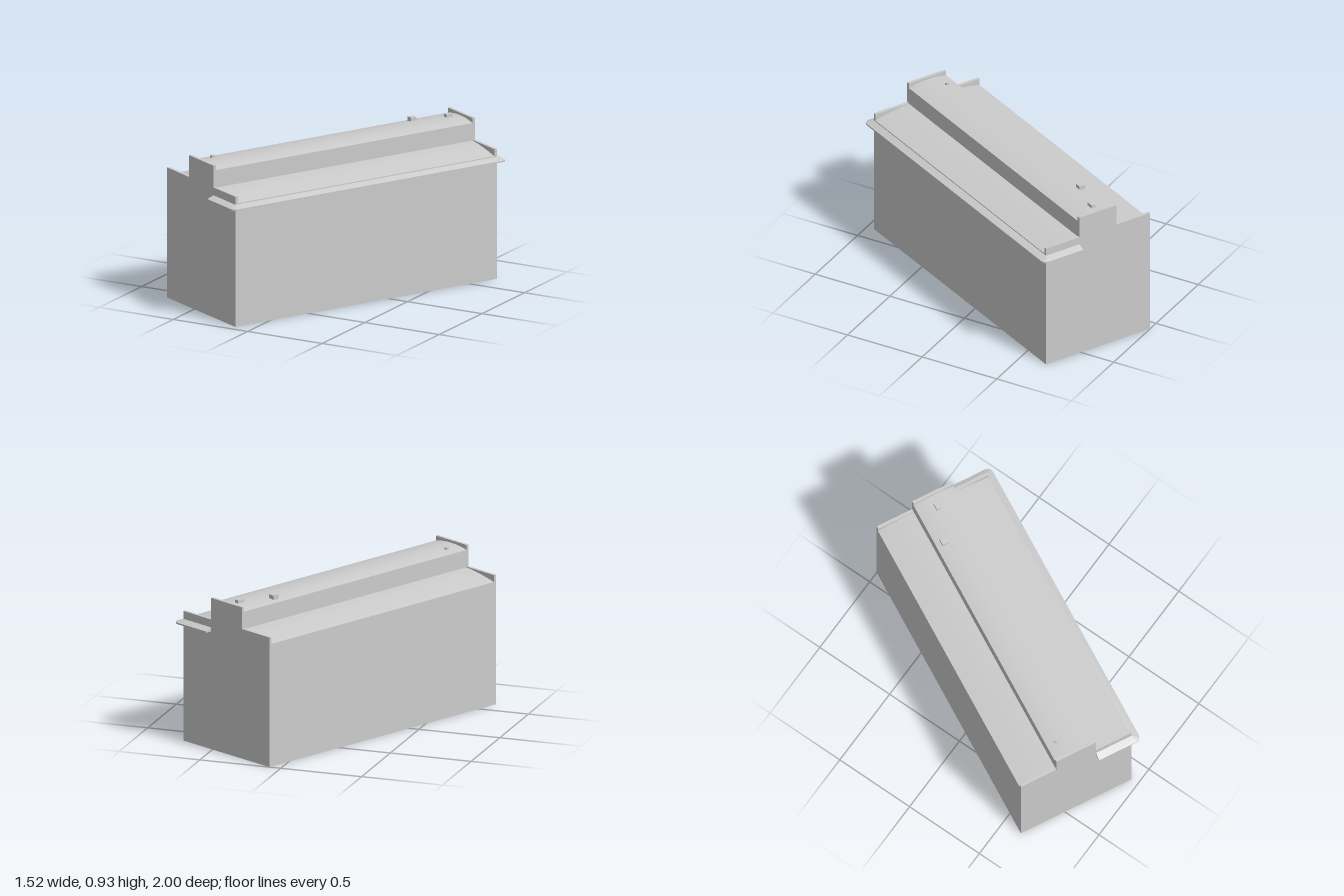
import * as THREE from 'three';
import { toCreasedNormals } from 'three/addons/utils/BufferGeometryUtils.js';

const W = 0.363, L = 0.911;          // half width and half length of the building
const RIDGE = 0.13;                  // half width of the raised central bay
const END = 0.018;                   // gable parapet thickness

const material = new THREE.MeshStandardMaterial({ color: 0xcccccc, side: THREE.DoubleSide });

function add(group, name, geometry, x = 0, y = 0, z = 0) {
  const mesh = new THREE.Mesh(geometry, material);
  mesh.name = name;
  mesh.position.set(x, y, z);
  group.add(mesh);
  return mesh;
}

// Extrude a symmetric section given by its right half, listed from the bottom up
function extrudeSection(half, depth) {
  const left = half.map(([x, y]) => [-x, y]).reverse();
  const shape = new THREE.Shape([...half, ...left].map(([x, y]) => new THREE.Vector2(x, y)));
  const geometry = new THREE.ExtrudeGeometry(shape, { depth, bevelEnabled: false });
  return toCreasedNormals(geometry, 0.4);
}

// Ledge that wraps the right wall and both corners, sloping down to a thin lip
function ledgeGeometry() {
  const out = 0.043, r = 0.035;
  const rows = [[[RIDGE, L], [RIDGE, L + out]]];
  for (const s of [1, -1]) {
    for (let i = 0; i <= 4; i++) {
      const a = (s > 0 ? 1 - i / 4 : i / 4) * Math.PI / 2;
      rows.push([[W, s * L], [W + out - r + r * Math.cos(a), s * (L + out - r + r * Math.sin(a))]]);
    }
  }
  rows.push([[RIDGE, -L], [RIDGE, -L - out]]);

  const positions = [], index = [];
  for (const [a, b] of rows) {
    positions.push(a[0], 0.742, a[1], b[0], 0.726, b[1], b[0], 0.717, b[1], a[0], 0.717, a[1]);
  }
  for (let i = 0; i < rows.length - 1; i++) {
    for (let k = 0; k < 4; k++) {
      const p = i * 4 + k, q = i * 4 + (k + 1) % 4;
      index.push(p, q, p + 4, q, q + 4, p + 4);
    }
  }
  const e = (rows.length - 1) * 4;
  index.push(0, 2, 1, 0, 3, 2, e, e + 1, e + 2, e, e + 2, e + 3);
  const geometry = new THREE.BufferGeometry();
  geometry.setAttribute('position', new THREE.Float32BufferAttribute(positions, 3));
  geometry.setIndex(index);
  return toCreasedNormals(geometry, 0.4);
}

export function createModel() {
  const model = new THREE.Group();
  model.name = 'building';
  const hall = new THREE.Group();
  hall.name = 'hall';
  hall.rotation.y = -THREE.MathUtils.degToRad(27);
  hall.position.set(-0.02, 0, -0.023);
  model.add(hall);

  // Hall with gently curved side roofs and a shallow vault over the central bay
  const section = [[W, 0]];
  for (let i = 0; i <= 6; i++) {
    const t = 1 - i / 6;
    section.push([RIDGE + (W - RIDGE) * t, 0.786 - 0.038 * t ** 1.4]);
  }
  for (let i = 0; i < 6; i++) {
    const t = 1 - i / 6;
    section.push([RIDGE * t, 0.908 - 0.016 * t * t]);
  }
  const body = extrudeSection(section, 2 * (L - END));
  add(hall, 'wallsAndRoof', body, 0, 0, -L + END);

  // Stepped gable walls standing above the roof at both ends
  const gable = extrudeSection([[W, 0], [W, 0.79], [RIDGE, 0.79], [RIDGE, 0.922]], END);
  add(hall, 'frontGable', gable, 0, 0, L - END);
  add(hall, 'backGable', gable, 0, 0, -L);

  // Ledge below the right eave
  add(hall, 'ledge', ledgeGeometry());

  // Small roof fittings
  add(hall, 'roofVent', new THREE.BoxGeometry(0.038, 0.03, 0.038), -0.079, 0.911, -0.607);
  add(hall, 'roofHatch', new THREE.BoxGeometry(0.026, 0.03, 0.046), -0.014, 0.912, -0.82);
  add(hall, 'roofPipe', new THREE.CylinderGeometry(0.012, 0.012, 0.02, 12), -0.068, 0.908, 0.79);

  return model;
}
